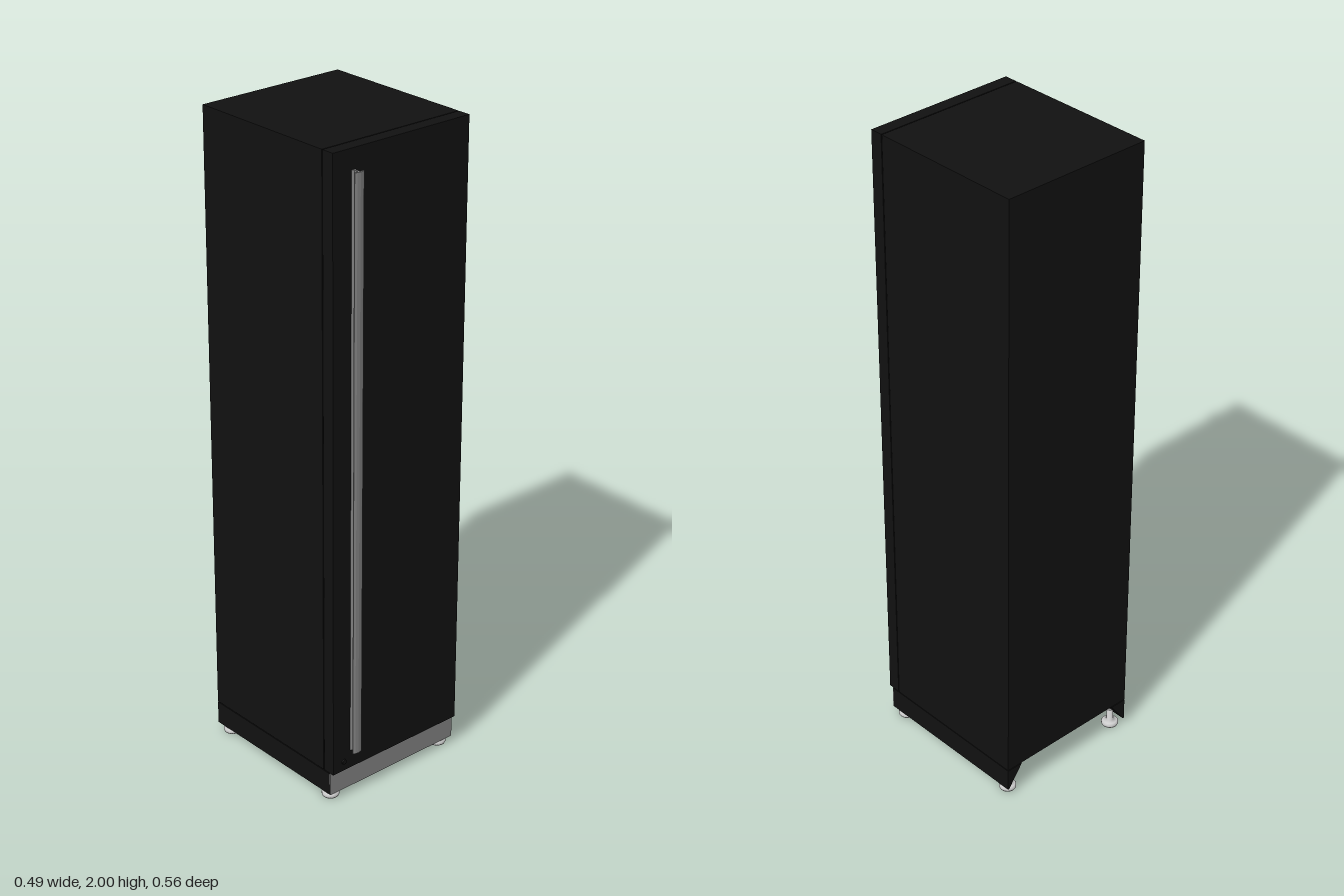
import * as THREE from 'three';

const BLACK = new THREE.MeshStandardMaterial({ color: 0x111111 });
const STEEL = new THREE.MeshStandardMaterial({ color: 0x808080 });
const FOOT = new THREE.MeshStandardMaterial({ color: 0xcccccc });

const HALF_W = 0.243, BACK = -0.283, FRONT = 0.255, BASE_FRONT = 0.243;
const BASE_Y = 0.025, BODY_Y = 0.1, TOP = 2;

function add(parent, name, geometry, material, x = 0, y = 0, z = 0) {
  const mesh = new THREE.Mesh(geometry, material);
  mesh.name = name;
  mesh.position.set(x, y, z);
  parent.add(mesh);
  return mesh;
}

// Box given by its minimum and maximum corners
function box(parent, name, material, a, b) {
  const s = b.map((v, i) => v - a[i]);
  return add(parent, name, new THREE.BoxGeometry(...s), material, ...b.map((v, i) => (v + a[i]) / 2));
}

function shapeOf(points) {
  return new THREE.Shape(points.map(([x, y]) => new THREE.Vector2(x, y)));
}

export function createModel() {
  const model = new THREE.Group();
  model.name = 'tallCabinet';

  // Cabinet and door, with a fine recessed seam between them
  box(model, 'cabinet', BLACK, [-HALF_W, BODY_Y, BACK], [HALF_W, TOP, 0.212]);
  box(model, 'doorSeal', BLACK, [-HALF_W + 0.006, BODY_Y + 0.006, 0.212], [HALF_W - 0.006, TOP - 0.006, 0.215]);
  box(model, 'door', BLACK, [-HALF_W, BODY_Y, 0.215], [HALF_W, TOP, FRONT]);

  // Door lock
  const lock = add(model, 'lock', new THREE.CylinderGeometry(0.008, 0.008, 0.004, 20), BLACK, -0.202, 0.13, FRONT + 0.002);
  lock.rotation.x = Math.PI / 2;

  // Plinth sides: wedges that leave a tapered tunnel open at the back
  const top = BODY_Y - 0.003;
  for (const side of [-1, 1]) {
    const pts = [[HALF_W, BASE_Y], [HALF_W, top], [0.188, top], [HALF_W - 0.004, BASE_Y]];
    const shape = shapeOf(pts.map(([x, y]) => [x * side, y]));
    const depth = BASE_FRONT - 0.004 - BACK;
    const wedge = new THREE.ExtrudeGeometry(shape, { depth, bevelEnabled: false });
    add(model, side > 0 ? 'leftPlinthSide' : 'rightPlinthSide', wedge, BLACK, 0, 0, BACK);
  }
  box(model, 'kickPlate', STEEL, [-HALF_W, BASE_Y, BASE_FRONT - 0.004], [HALF_W, top, BASE_FRONT]);

  // Levelling feet
  const footProfile = [[0, 0], [0.024, 0], [0.026, 0.004], [0.026, 0.011], [0.022, 0.015], [0.01, 0.017], [0.01, 0.05], [0, 0.05]];
  const footGeometry = new THREE.LatheGeometry(footProfile.map(([x, y]) => new THREE.Vector2(x, y)), 24);
  for (const x of [-0.215, 0.215]) {
    for (const z of [0.21, -0.25]) add(model, 'foot', footGeometry, FOOT, x, 0, z);
  }

  // Full-height handle: T section with a bowed grip and a flared root
  const half = [[0.008, 0], [0.003, 0.005], [0.003, 0.02], [0.01, 0.0205], [0.016, 0.019], [0.0165, 0.022], [0.01, 0.0255], [0, 0.027]];
  const mirrored = half.slice(0, -1).reverse().map(([x, y]) => [-x, y]);
  const grip = new THREE.ExtrudeGeometry(shapeOf([...half, ...mirrored]), { depth: 1.78, bevelEnabled: false });
  grip.rotateX(Math.PI / 2);
  add(model, 'handle', grip, STEEL, -0.17, 1.94, FRONT);

  return model;
}
